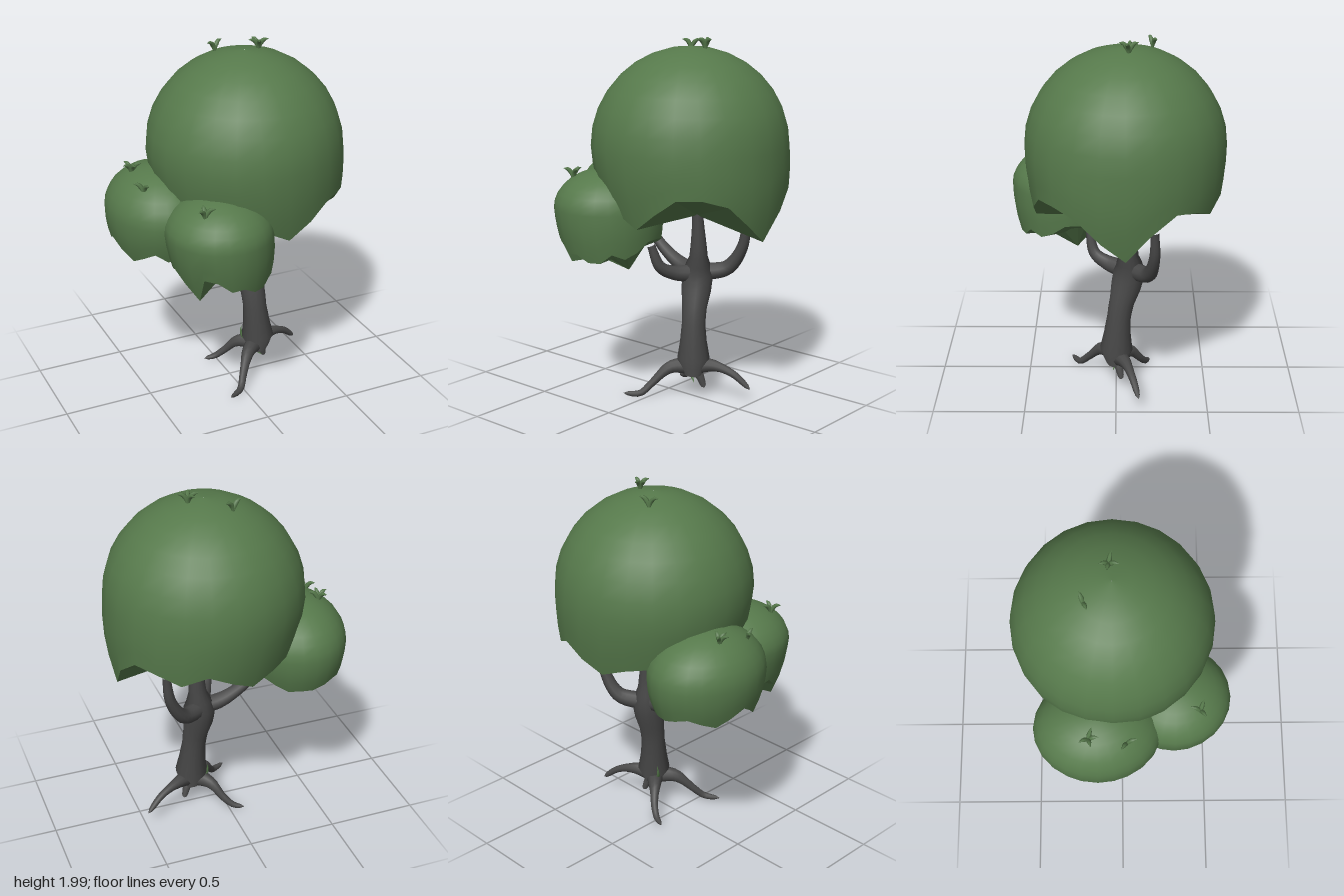
import * as THREE from 'three';

const leafGreen = new THREE.MeshStandardMaterial({ color: 0x56794b });
leafGreen.name = 'leafGreen';
const barkGrey = new THREE.MeshStandardMaterial({ color: 0x484848 });
barkGrey.name = 'barkGrey';

const lerp = THREE.MathUtils.lerp;

// Linear lookup in evenly spaced values, t from 0 to 1
function sample(values, t) {
  const f = t * (values.length - 1);
  const i = Math.min(Math.floor(f), values.length - 2);
  return lerp(values[i], values[i + 1], f - i);
}

// Closed surface through rings of points, listed from top to bottom
function loft(rings) {
  const index = [];
  const n = rings[0].length;
  for (let i = 0; i < rings.length - 1; i++) {
    for (let j = 0; j < n; j++) {
      const a = i * n + j, b = i * n + (j + 1) % n;
      index.push(a, b, b + n, a, b + n, a + n);
    }
  }
  const geo = new THREE.BufferGeometry().setFromPoints(rings.flat());
  geo.setIndex(index);
  geo.computeVertexNormals();
  return geo;
}

// Dome with a ragged hem (heights from +x towards +z) and a faceted underside.
// lean shifts the skirt along x; lift hollows the underside.
function crown(name, { center, rx, rz, height, taper, lean, hem, under, lift }) {
  const [cx, cy, cz] = center;
  const ring = (fn) => hem.map((h, j) => fn(j * Math.PI * 2 / hem.length, h));
  const at = (a, k, y, dx) => new THREE.Vector3(cx + dx + Math.cos(a) * rx * k, y, cz + Math.sin(a) * rz * k);
  const rings = [];
  for (let i = 0; i <= 8; i++) {
    const p = Math.max(i, 0.02) * Math.PI / 16;
    rings.push(ring((a) => at(a, Math.sin(p), cy + Math.cos(p) * height, 0)));
  }
  for (let i = 1; i <= 3; i++) {
    rings.push(ring((a, h) => {
      const y = lerp(cy, h, i / 3);
      const drop = (cy - y) / height;
      return at(a, 1 - taper * drop ** 2, y, lean * drop);
    }));
  }
  const edge = rings[rings.length - 1];
  const low = new THREE.Vector3(...under);
  const inner = [0, 0.5, 0.99].map((t) => edge.map((p) => {
    const q = p.clone().lerp(low, t);
    q.y += lift * Math.sin(t * Math.PI);
    return q;
  }));
  const fold = loft(inner).toNonIndexed();
  fold.computeVertexNormals();

  const group = new THREE.Group();
  group.name = name;
  const dome = new THREE.Mesh(loft(rings), leafGreen);
  dome.name = name + 'Dome';
  const underside = new THREE.Mesh(fold, leafGreen);
  underside.name = name + 'Underside';
  group.add(dome, underside);
  return group;
}

// Tube along a path whose radius follows a list of values
function limb(name, points, radii, material, steps = 16, sides = 10) {
  const curve = new THREE.CatmullRomCurve3(points.map((p) => new THREE.Vector3(...p)));
  const geo = new THREE.TubeGeometry(curve, steps, 1, sides);
  const pos = geo.attributes.position;
  const v = new THREE.Vector3();
  for (let i = 0; i <= steps; i++) {
    const c = curve.getPointAt(i / steps);
    const r = sample(radii, i / steps);
    for (let j = 0; j <= sides; j++) {
      const k = i * (sides + 1) + j;
      v.fromBufferAttribute(pos, k).sub(c).multiplyScalar(r).add(c);
      pos.setXYZ(k, v.x, v.y, v.z);
    }
  }
  const mesh = new THREE.Mesh(geo, material);
  mesh.name = name;
  return mesh;
}

// Small tuft of curved leaves, one per heading in degrees
function sprig(position, headings) {
  const group = new THREE.Group();
  group.name = 'leafSprig';
  for (const h of headings) {
    const blade = limb('leafBlade', [[0, -0.01, 0], [0.01, 0.025, 0], [0.028, 0.046, 0], [0.056, 0.05, 0]],
      [0.004, 0.01, 0.013, 0.01, 0], leafGreen, 8, 6);
    blade.rotation.y = -THREE.MathUtils.degToRad(h);
    group.add(blade);
  }
  group.position.set(...position);
  return group;
}

export function createModel() {
  const tree = new THREE.Group();
  tree.name = 'tree';

  // Foliage
  tree.add(crown('mainCrown', {
    center: [0.11, 1.42, -0.05], rx: 0.54, rz: 0.54, height: 0.53, taper: 0.2, lean: 0.05,
    hem: [0.95, 1.05, 1.17, 1.21, 1.21, 1.12, 1.03, 1.1, 1.16, 1.14, 1.06, 1.1,
      1.14, 1.07, 1.14, 1.14, 1.12, 1.07, 1.13, 1.19, 1.13, 1.18, 1.2, 1.1],
    under: [0.16, 1.03, -0.05], lift: 0,
  }));
  tree.add(crown('leftCrown', {
    center: [-0.37, 1.1, -0.134], rx: 0.286, rz: 0.347, height: 0.245, taper: 0.2, lean: 0,
    hem: [0.97, 0.95, 0.93, 0.92, 0.92, 0.92, 0.91, 0.9, 0.95, 0.91, 0.87, 0.92,
      0.97, 0.93, 0.89, 0.92, 0.95, 0.93, 0.91, 0.91, 0.9, 0.93, 0.96, 0.97],
    under: [-0.33, 0.94, -0.13], lift: 0.04,
  }));
  tree.add(crown('frontCrown', {
    center: [-0.193, 1.09, 0.28], rx: 0.288, rz: 0.305, height: 0.21, taper: 0.09, lean: 0.02,
    hem: [0.93, 0.88, 0.85, 0.88, 0.83, 0.83, 0.87, 0.86, 0.92, 0.93, 0.77, 0.86,
      0.92, 0.89, 0.86, 0.9, 0.94, 0.91, 0.88, 0.85, 0.87, 0.9, 0.92, 0.93],
    under: [-0.1, 0.73, 0.22], lift: 0.05,
  }));

  // Leaf tufts
  tree.add(
    sprig([0.2, 1.94, -0.065], [15, 110, 190, 250]),
    sprig([0.0, 1.92, -0.19], [-25, 160]),
    sprig([-0.5, 1.305, -0.18], [20, 90, 165, 240]),
    sprig([-0.51, 1.265, 0.02], [80, 210]),
    sprig([-0.33, 1.245, 0.41], [20, 150, 280]),
  );

  // Single leaf growing up through the foot of the trunk
  tree.add(limb('footLeaf', [[0.2, 0.09, 0.02], [0.13, 0.17, -0.025], [0.095, 0.23, -0.045], [0.1, 0.28, -0.05]],
    [0, 0.014, 0.014, 0.01, 0], leafGreen, 8, 6));

  // Trunk
  tree.add(limb('trunk', [[0.18, 0.13, 0], [0.18, 0.2, 0], [0.165, 0.45, -0.02], [0.15, 0.69, -0.07],
    [0.16, 0.82, -0.065], [0.155, 1.08, -0.06]],
  [0.05, 0.092, 0.076, 0.067, 0.07, 0.084, 0.088, 0.052, 0.042, 0.033, 0.028], barkGrey, 20, 14));

  // Branches
  const branches = [
    [[0.17, 0.7, -0.1], [0.28, 0.73, -0.175], [0.36, 0.86, -0.205], [0.382, 1.02, -0.205]],
    [[0.14, 0.7, -0.04], [0.08, 0.71, 0.05], [0.04, 0.75, 0.12], [0.0, 0.87, 0.15]],
    [[0.14, 0.7, -0.07], [0.03, 0.72, -0.08], [-0.1, 0.79, -0.085], [-0.27, 0.94, -0.09]],
  ];
  for (const path of branches) {
    tree.add(limb('branch', path, [0.05, 0.046, 0.038, 0.032, 0.027, 0.022], barkGrey));
  }

  // Roots
  const roots = [
    [[0.17, 0.18, 0], [0.08, 0.17, 0.08], [0.01, 0.08, 0.16], [-0.03, 0.026, 0.21], [-0.115, 0.02, 0.26]],
    [[0.18, 0.18, 0], [0.28, 0.19, -0.05], [0.39, 0.155, -0.09], [0.485, 0.075, -0.125]],
    [[0.17, 0.18, 0], [0.09, 0.16, -0.08], [0.03, 0.08, -0.14], [-0.02, 0.035, -0.17], [-0.08, 0.02, -0.19]],
    [[0.18, 0.18, 0], [0.21, 0.13, -0.015], [0.235, 0.055, -0.03]],
  ];
  for (const path of roots) {
    tree.add(limb('root', path, [0.055, 0.05, 0.046, 0.042, 0.038, 0.034, 0.03, 0.026, 0.024, 0.022, 0.021, 0.02, 0.019, 0.018, 0.016, 0.012, 0], barkGrey));
  }
  return tree;
}
